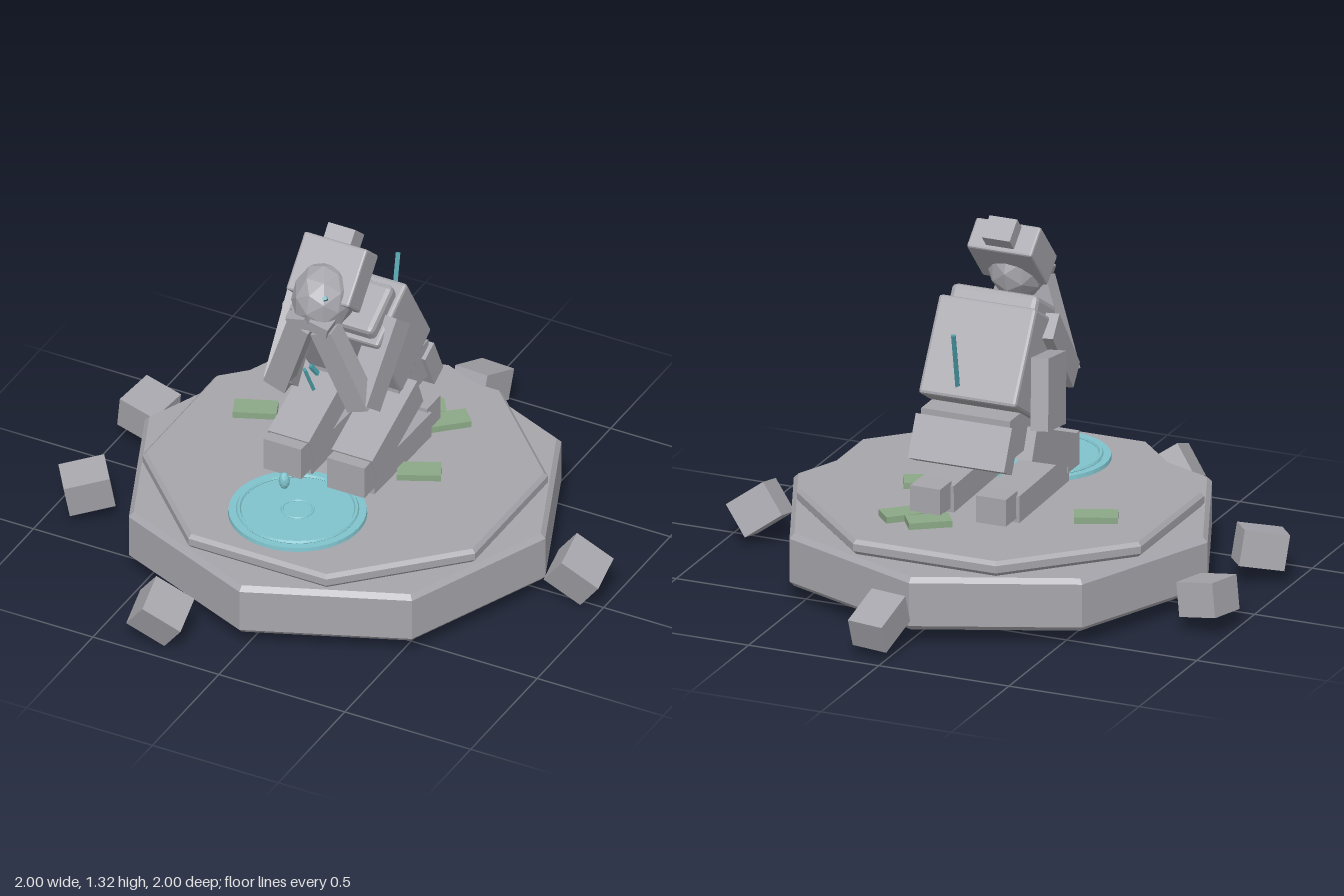
import * as THREE from 'three';
import { RoundedBoxGeometry } from 'three/addons/geometries/RoundedBoxGeometry.js';

const mat = (name, color) => {
  const m = new THREE.MeshStandardMaterial({ color, flatShading: true });
  m.name = name;
  return m;
};

export function createModel() {
  const stone = mat('stone', 0xa6a5ab);
  const water = mat('water', 0x80c3cc);
  const glow = mat('glowing crack', 0x4c9ba6);
  const moss = mat('moss', 0x8ba886);

  const root = new THREE.Group();
  root.name = 'kneelingStatue';
  // Everything except the loose rocks is symmetric about this group's centre
  const statue = new THREE.Group();
  statue.name = 'statue';
  statue.position.x = -0.016;
  root.add(statue);

  const add = (name, geo, material, pos, rot = [0, 0, 0], parent = statue) => {
    const m = new THREE.Mesh(geo, material);
    m.name = name;
    m.position.set(...pos);
    m.rotation.set(...rot);
    parent.add(m);
    return m;
  };
  const box = (name, size, pos, rot, material = stone, parent = statue) =>
    add(name, new THREE.BoxGeometry(...size), material, pos, rot, parent);
  const bevelBox = (name, size, pos, rot, r = 0.012) =>
    add(name, new RoundedBoxGeometry(...size, 1, r), stone, pos, rot);
  // Box stretched between two points
  const bar = (name, a, b, w, d, material = stone) => {
    const from = new THREE.Vector3(...a), dir = new THREE.Vector3(...b).sub(from);
    const len = dir.length();
    const m = box(name, [w, len, d], from.clone().addScaledVector(dir, 0.5).toArray(), [0, 0, 0], material);
    m.quaternion.setFromUnitVectors(new THREE.Vector3(0, 1, 0), dir.normalize());
    return m;
  };

  // Two stacked eight-sided slabs with bevelled rims
  const slab = (name, r, y0, y1, bevel, turn) => {
    const pts = [[0, y0], [r - bevel, y0], [r, y0 + bevel], [r, y1 - bevel], [r - bevel, y1], [0, y1]]
      .map(([x, y]) => new THREE.Vector2(x, y));
    add(name, new THREE.LatheGeometry(pts, 8), stone, [0, 0, 0.02], [0, turn, 0]);
  };
  slab('baseSlab', 0.795, 0.053, 0.25, 0.018, 0);
  slab('upperSlab', 0.715, 0.25, 0.305, 0.014, Math.PI / 8);

  // Pool with raised rings and a falling tear
  const pool = [0, 0, 0.377];
  const ring = (name, r, tube, y) =>
    add(name, new THREE.TorusGeometry(r, tube, 6, 40), water, [pool[0], y, pool[2]], [Math.PI / 2, 0, 0]);
  add('pool', new THREE.CylinderGeometry(0.243, 0.245, 0.016, 40), water, [0, 0.312, pool[2]]);
  ring('poolRing', 0.208, 0.009, 0.322);
  ring('ripple', 0.055, 0.005, 0.321);
  const tear = add('tear', new THREE.IcosahedronGeometry(0.02, 1), water, [-0.046, 0.435, 0.39]);
  tear.scale.set(1, 1.7, 1);

  // Moss patches: x, z, turn
  [[-0.424, -0.11, 0.4], [0.095, -0.39, 0.6], [0.205, -0.36, 0.75], [0.265, -0.035, 0.45]]
    .forEach(([x, z, t]) => box('mossPatch', [0.155, 0.024, 0.085], [x, 0.317, z], [0, t, 0], moss));

  // Legs and arms, mirrored
  for (const s of [-1, 1]) {
    const side = s > 0 ? 'left' : 'right';
    box(side + 'Thigh', [0.162, 0.12, 0.366], [s * 0.126, 0.5, 0.016], [0.385, 0, 0]);
    box(side + 'Knee', [0.148, 0.125, 0.1], [s * 0.126, 0.418, 0.203]);
    box(side + 'Shin', [0.14, 0.1, 0.43], [s * 0.126, 0.365, -0.045], [-0.025, 0, 0]);
    box(side + 'Foot', [0.115, 0.1, 0.1], [s * 0.126, 0.375, -0.3]);
    bar(side + 'UpperArm', [s * 0.172, 0.96, -0.005], [s * 0.16, 0.705, 0.2], 0.1, 0.105);
    bar(side + 'Forearm', [s * 0.165, 0.71, 0.205], [s * 0.045, 1.03, 0.255], 0.088, 0.075);
    box(side + 'Hand', [0.075, 0.045, 0.11], [s * 0.042, 1.06, 0.255], [0.15, 0, s * -0.25]);
  }

  // Bowed torso
  bevelBox('torso', [0.375, 0.36, 0.26], [0, 0.835, -0.075], [0.54, 0, 0]);
  bevelBox('shoulderBlock', [0.335, 0.17, 0.2], [0, 0.957, 0.012], [0.54, 0, 0], 0.02);
  box('pelvis', [0.34, 0.15, 0.22], [0, 0.62, -0.175]);
  box('backFlap', [0.37, 0.16, 0.075], [0, 0.59, -0.3], [0.45, 0, 0]);
  box('sideSlab', [0.065, 0.26, 0.2], [-0.25, 0.77, -0.13], [0.2, 0.09, -0.08]);

  // Head resting in the hands, with a hood block behind it
  const head = add('head', new THREE.IcosahedronGeometry(0.13, 1), stone, [0, 1.105, 0.18]);
  head.scale.x = 0.85;
  bevelBox('hood', [0.25, 0.215, 0.12], [0, 1.17, 0.117], [-0.73, 0, 0], 0.008);
  box('hoodCrest', [0.107, 0.06, 0.09], [0, 1.27, 0.03], [-0.73, 0, 0]);

  // Glowing cracks
  [
    [[0.031, 1.0, -0.32], [0.046, 0.77, -0.247]],
    [[-0.142, 0.675, 0.056], [-0.127, 0.575, 0.018]],
    [[0.134, 0.675, 0.056], [0.121, 0.575, 0.018]],
    [[0.068, 1.192, 0.302], [0.052, 1.16, 0.265]],
    [[-0.09, 0.74, 0.11], [-0.072, 0.70, 0.09]],
  ].forEach(([a, b]) => bar('crack', a, b, 0.016, 0.012, glow));

  // Loose rocks around the base: position, size, rotation
  [
    [[0.05, 0.12, -0.885], [0.135, 0.115, 0.18], [-0.37, -0.1, 0]],
    [[-0.905, 0.12, -0.19], [0.15, 0.125, 0.16], [0.1, -0.15, -0.15]],
    [[-0.877, 0.12, 0.33], [0.165, 0.13, 0.135], [0.15, 0.62, 0.1]],
    [[-0.285, 0.117, 0.9], [0.16, 0.13, 0.15], [0.35, 0.12, -0.65]],
    [[0.89, 0.115, -0.02], [0.16, 0.135, 0.15], [0.25, 0.1, -0.65]],
  ].forEach(([p, size, r]) => box('looseRock', size, p, r, stone, root));

  return root;
}
